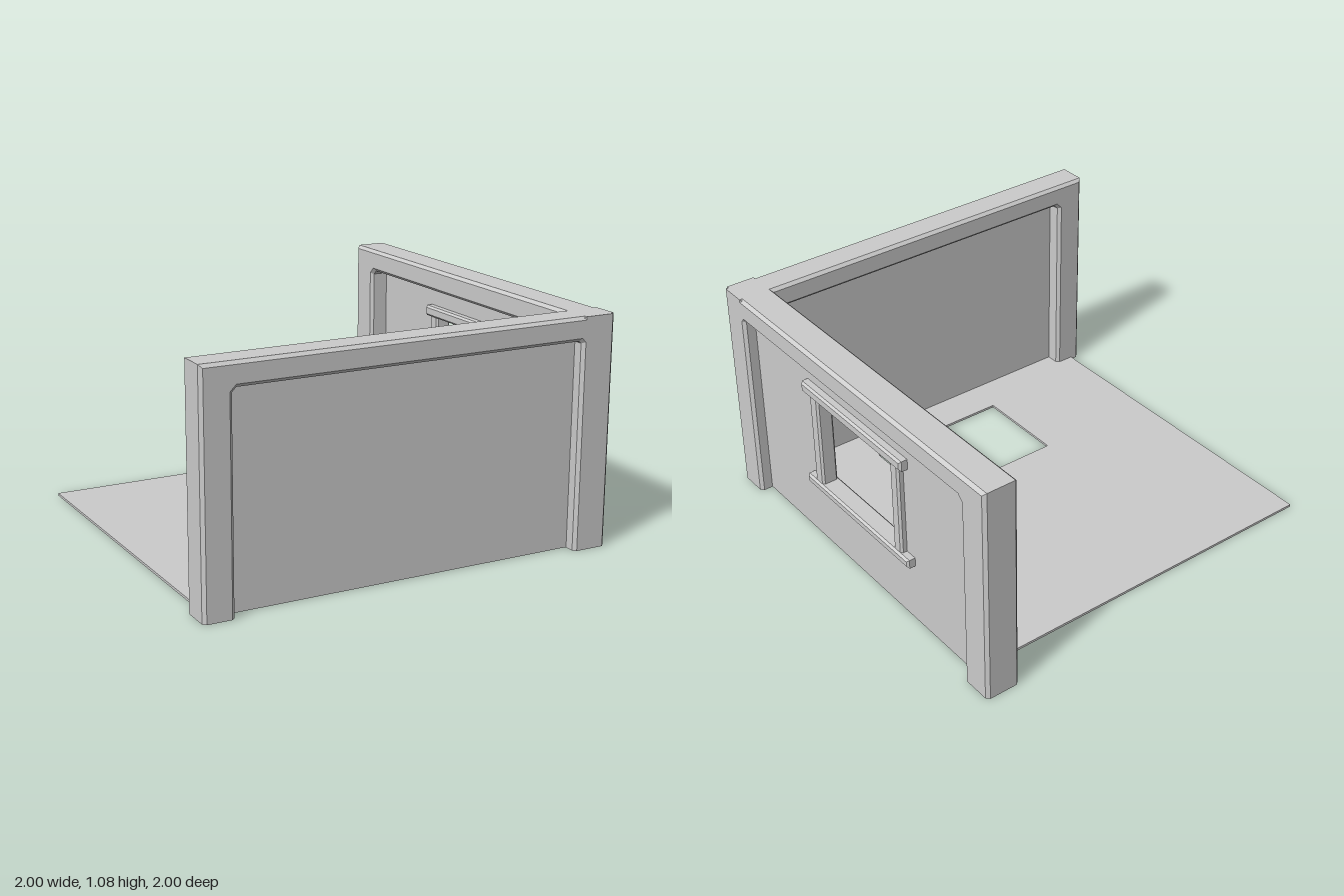
import * as THREE from 'three';

const material = new THREE.MeshStandardMaterial({ color: 0xcccccc, flatShading: true });

function add(parent, name, geometry) {
  const mesh = new THREE.Mesh(geometry, material);
  mesh.name = name;
  parent.add(mesh);
  return mesh;
}

function outline(points) {
  return new THREE.Shape(points.map(([x, y]) => new THREE.Vector2(x, y)));
}

function rect(x0, y0, x1, y1) {
  return outline([[x0, y0], [x1, y0], [x1, y1], [x0, y1]]);
}

// Extrudes a shape from z0 to z1, with chamfered edges kept inside the outline
function slab(shape, z0, z1, bevel = 0) {
  const geometry = new THREE.ExtrudeGeometry(shape, {
    depth: z1 - z0 - 2 * bevel,
    bevelEnabled: bevel > 0,
    bevelSize: bevel,
    bevelThickness: bevel,
    bevelOffset: -bevel,
    bevelSegments: 1,
    steps: 1,
  });
  return geometry.translate(0, 0, z0 + bevel);
}

// Two posts and a top beam with small cut corners in the opening
function frameGeometry(inner) {
  const left = -0.855, right = 0.84, top = 0.97, cut = 0.02, base = -0.05;
  const geometry = slab(outline([
    [-1, base], [left, base], [left, top - cut], [left + cut, top],
    [right - cut, top], [right, top - cut], [right, base],
    [1, base], [1, 1.08], [-1, 1.08],
  ]), inner, 1, 0.015);
  // Flatten the feet onto the ground
  const p = geometry.attributes.position;
  for (let i = 0; i < p.count; i++) p.setY(i, Math.max(0, p.getY(i)));
  geometry.computeVertexNormals();
  return geometry;
}

export function createModel() {
  const model = new THREE.Group();
  model.name = 'roomCorner';

  // Floor with a rectangular opening
  const floorShape = rect(-0.95, -0.94, 0.935, 0.835);
  floorShape.holes.push(rect(-0.33, -0.73, 0.39, -0.27));
  add(model, 'floor', slab(floorShape, 0.002, 0.014).rotateX(-Math.PI / 2));

  // Front wall
  const frontWall = new THREE.Group();
  frontWall.name = 'frontWall';
  model.add(frontWall);
  add(frontWall, 'frontFrame', frameGeometry(0.845));
  add(frontWall, 'frontPanel', slab(rect(-0.94, 0.002, 0.935, 1.02), 0.92, 0.94));

  // Side wall, built facing +z and turned to face +x
  const sideWall = new THREE.Group();
  sideWall.name = 'sideWall';
  sideWall.rotation.y = Math.PI / 2;
  model.add(sideWall);
  add(sideWall, 'sideFrame', frameGeometry(0.83));
  const panel = rect(-0.935, 0.002, 0.94, 1.02);
  panel.holes.push(rect(-0.3, 0.34, 0.3, 0.83));
  add(sideWall, 'sidePanel', slab(panel, 0.92, 0.94));

  // Window surround, standing proud on both faces of the panel
  const bars = [
    ['windowSill', -0.405, 0.31, 0.405, 0.355, 0.05],
    ['windowHead', -0.4, 0.815, 0.38, 0.867, 0.05],
    ['windowLeftStile', -0.35, 0.335, -0.285, 0.835, 0.04],
    ['windowRightStile', 0.285, 0.335, 0.345, 0.835, 0.04],
  ];
  for (const [name, x0, y0, x1, y1, reach] of bars) {
    add(sideWall, name, slab(rect(x0, y0, x1, y1), 0.93 - reach, 0.93 + reach, 0.01));
  }

  return model;
}
